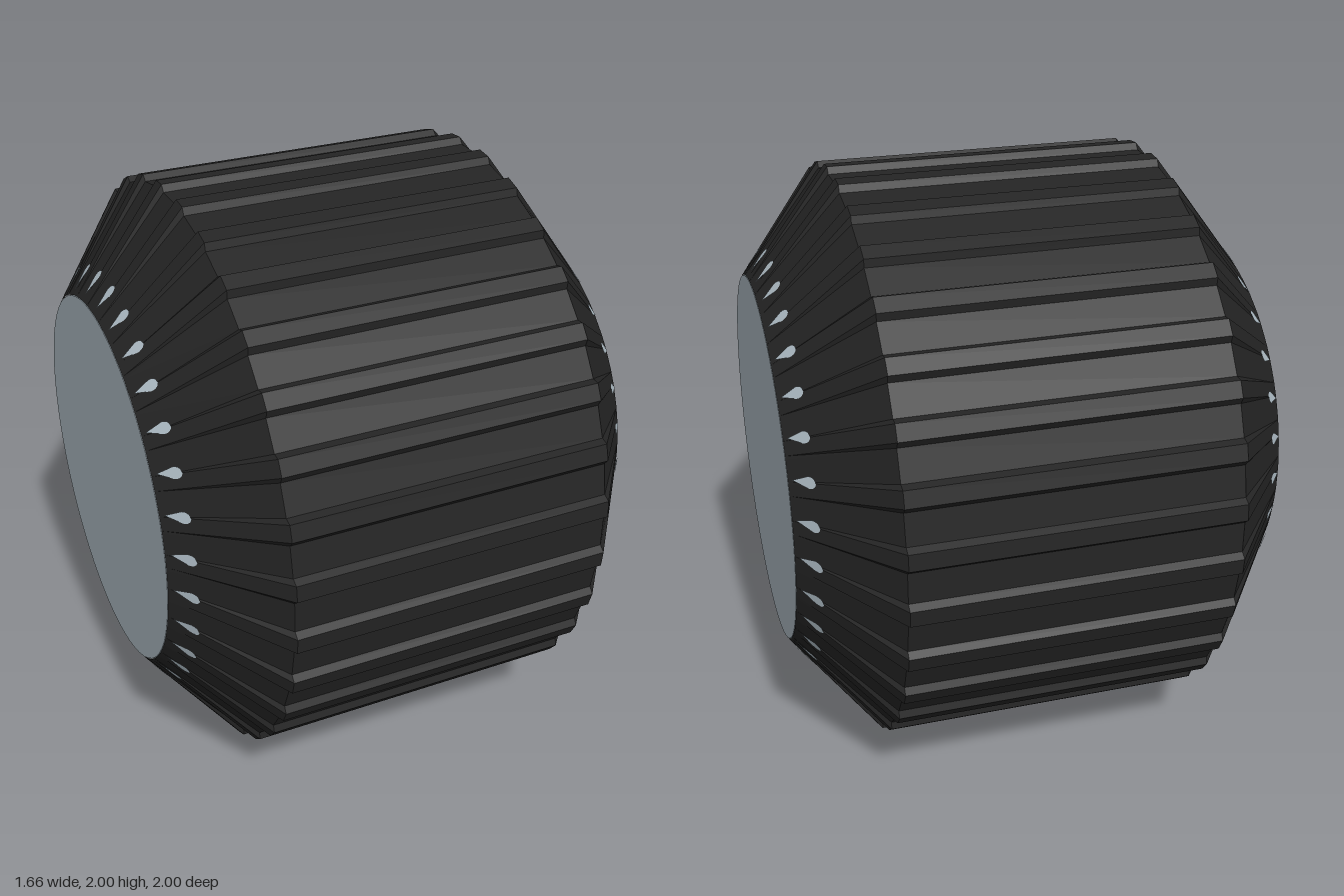
import * as THREE from 'three';

const TEETH = 32, PITCH = (Math.PI * 2) / TEETH;
const deg = Math.PI / 180;

// Tyre skin: four toothed or plain rings joined from left to right
function tyreGeometry() {
  const peak = 1.0025, valley = 0.98, rim = 0.64;
  // one tread tooth: angle from its centre, and radius
  const tooth = [[-2.5, valley], [-1.6, peak], [1.6, peak], [2.5, valley]];
  const rings = [[-0.83, false], [-0.545, true], [0.545, true], [0.83, false]];
  const pos = [], index = [], n = TEETH * tooth.length;
  for (const [x, toothed] of rings) {
    for (let k = 0; k < TEETH; k++) {
      for (const [d, r] of tooth) {
        const a = (k + 0.5) * PITCH + d * deg, rad = toothed ? r : rim;
        pos.push(x, rad * Math.cos(a), -rad * Math.sin(a));
      }
    }
  }
  for (let i = 0; i < rings.length - 1; i++) {
    for (let j = 0; j < n; j++) {
      const a = i * n + j, b = i * n + ((j + 1) % n), c = a + n, d = b + n;
      index.push(a, c, b, b, c, d);
    }
  }
  const g = new THREE.BufferGeometry();
  g.setAttribute('position', new THREE.Float32BufferAttribute(pos, 3));
  g.setIndex(index);
  const flat = g.toNonIndexed();
  flat.computeVertexNormals();
  return flat;
}

// Drop-shaped rim slot, narrow towards the hub, lying on the sidewall slope
function slotGeometry() {
  const s = new THREE.Shape();
  s.moveTo(-0.006, 0.022);
  s.lineTo(0.019, 0.085);
  s.quadraticCurveTo(0.024, 0.112, 0.006, 0.118);
  s.quadraticCurveTo(-0.018, 0.116, -0.019, 0.088);
  s.closePath();
  const g = new THREE.ShapeGeometry(s, 5);
  const along = new THREE.Vector3(-0.285, 0.34, 0).normalize();
  const across = new THREE.Vector3(0, 0, -1);
  const out = new THREE.Vector3().crossVectors(across, along);
  const m = new THREE.Matrix4().makeBasis(across, along, out);
  m.setPosition(0.83 + out.x * 0.005, 0.64 + out.y * 0.005, 0);
  return g.applyMatrix4(m);
}

export function createModel() {
  const rubber = new THREE.MeshStandardMaterial({ color: 0x242424, flatShading: true });
  rubber.name = 'black rubber';
  const metal = new THREE.MeshStandardMaterial({ color: 0xb0bec7 });
  metal.name = 'pale grey metal';

  const wheel = new THREE.Group();
  wheel.name = 'wheel';
  wheel.position.y = 1;

  const tyre = new THREE.Mesh(tyreGeometry(), rubber);
  tyre.name = 'tyre';
  wheel.add(tyre);

  // Hub fills the tyre and shows as a flat disc on both ends
  const hub = new THREE.Mesh(new THREE.CylinderGeometry(0.638, 0.638, 1.662, 64), metal);
  hub.name = 'hub';
  hub.rotation.z = Math.PI / 2;
  wheel.add(hub);

  // Ring of slots, repeated on the other end by a half turn
  const slotGeo = slotGeometry();
  for (const [name, turn] of [['leftSlots', 0], ['rightSlots', Math.PI]]) {
    const ring = new THREE.Group();
    ring.name = name;
    ring.rotation.y = turn;
    for (let k = 0; k < TEETH; k++) {
      const slot = new THREE.Mesh(slotGeo, metal);
      slot.name = 'slot';
      slot.rotation.x = -(k * PITCH + 3.1 * deg);
      ring.add(slot);
    }
    wheel.add(ring);
  }

  const model = new THREE.Group();
  model.name = 'wheelModel';
  model.add(wheel);
  return model;
}
